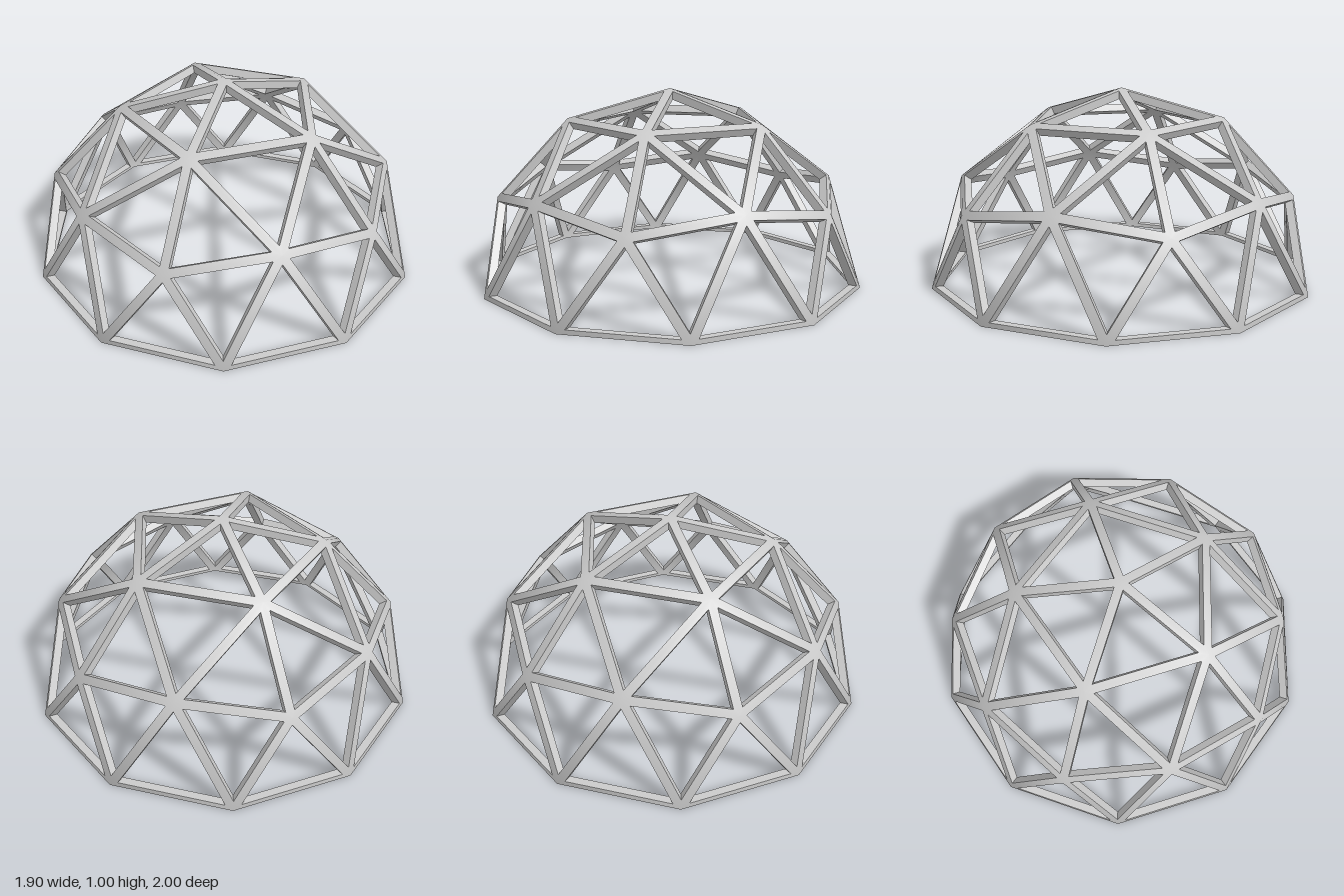
import * as THREE from 'three';

const HALF_WIDTH = 0.023; // half a strut, measured from its centre line
const INNER = 0.957;      // inner shell scale, gives the strut depth

// Point on a ring of the unit dome
function ringPoint(y, degrees) {
  const a = THREE.MathUtils.degToRad(degrees), r = Math.sqrt(1 - y * y);
  return new THREE.Vector3(r * Math.cos(a), y, r * Math.sin(a));
}

// Adds a four-cornered face turned toward 'facing'; sign +1/-1 gives radial normals, 0 a flat one
function addQuad(out, quad, facing, sign) {
  let [a, b, c, d] = quad;
  const n = c.clone().sub(a).cross(d.clone().sub(b)).normalize();
  if (n.dot(facing) < 0) { [b, d] = [d, b]; n.negate(); }
  for (const p of [a, b, c, a, c, d]) {
    const m = sign ? p.clone().normalize().multiplyScalar(sign) : n;
    out.positions.push(p.x, p.y, p.z);
    out.normals.push(m.x, m.y, m.z);
  }
}

// Triangular frame: outer border, inner border, hole walls and the flat foot along the ground
function addFrame(out, tri) {
  const len = [0, 1, 2].map(i => tri[(i + 1) % 3].distanceTo(tri[(i + 2) % 3]));
  const perimeter = len[0] + len[1] + len[2];
  const centre = new THREE.Vector3();
  tri.forEach((p, i) => centre.addScaledVector(p, len[i] / perimeter));
  const area = tri[1].clone().sub(tri[0]).cross(tri[2].clone().sub(tri[0])).length() / 2;
  const inset = HALF_WIDTH / (2 * area / perimeter);
  const hole = tri.map(p => p.clone().lerp(centre, inset));
  const deep = p => p.clone().multiplyScalar(INNER);
  for (let i = 0; i < 3; i++) {
    const j = (i + 1) % 3;
    const a = tri[i], b = tri[j], c = hole[j], d = hole[i];
    addQuad(out, [a, b, c, d], centre, 1);
    addQuad(out, [a, b, c, d].map(deep), centre.clone().negate(), -1);
    const mid = c.clone().add(d).multiplyScalar(0.5);
    addQuad(out, [d, c, deep(c), deep(d)], centre.clone().sub(mid), 0);
    if (a.y < 0.001 && b.y < 0.001) {
      addQuad(out, [a, b, deep(b), deep(a)], new THREE.Vector3(0, -1, 0), 0);
    }
  }
}

function makeTier(name, triangles, material) {
  const out = { positions: [], normals: [] };
  triangles.forEach(t => addFrame(out, t));
  const g = new THREE.BufferGeometry();
  g.setAttribute('position', new THREE.Float32BufferAttribute(out.positions, 3));
  g.setAttribute('normal', new THREE.Float32BufferAttribute(out.normals, 3));
  const mesh = new THREE.Mesh(g, material);
  mesh.name = name;
  return mesh;
}

export function createModel() {
  const group = new THREE.Group();
  group.name = 'geodesicDome';
  const material = new THREE.MeshStandardMaterial({ color: 0xcccccc });

  // Joints: apex, upper ring of 5, zigzag ring of 10, ground ring of 10
  const apex = new THREE.Vector3(0, 1, 0);
  const upper = k => ringPoint(0.8507, 72 * (k % 5));
  const middle = j => ringPoint(j % 2 ? 0.5257 : 0.4472, 36 * (j % 10));
  const ground = j => ringPoint(0, 18 + 36 * (j % 10));

  const crown = [], upperBand = [], lowerBand = [];
  for (let k = 0; k < 5; k++) {
    crown.push([apex, upper(k), upper(k + 1)]);
    upperBand.push(
      [upper(k), upper(k + 1), middle(2 * k + 1)],
      [upper(k), middle(2 * k), middle(2 * k + 1)],
      [upper(k), middle(2 * k), middle(2 * k + 9)]
    );
  }
  for (let j = 0; j < 10; j++) {
    lowerBand.push(
      [middle(j), middle(j + 1), ground(j)],
      [middle(j), ground(j), ground(j + 9)]
    );
  }

  group.add(
    makeTier('crownStruts', crown, material),
    makeTier('upperStruts', upperBand, material),
    makeTier('lowerStruts', lowerBand, material)
  );
  return group;
}
